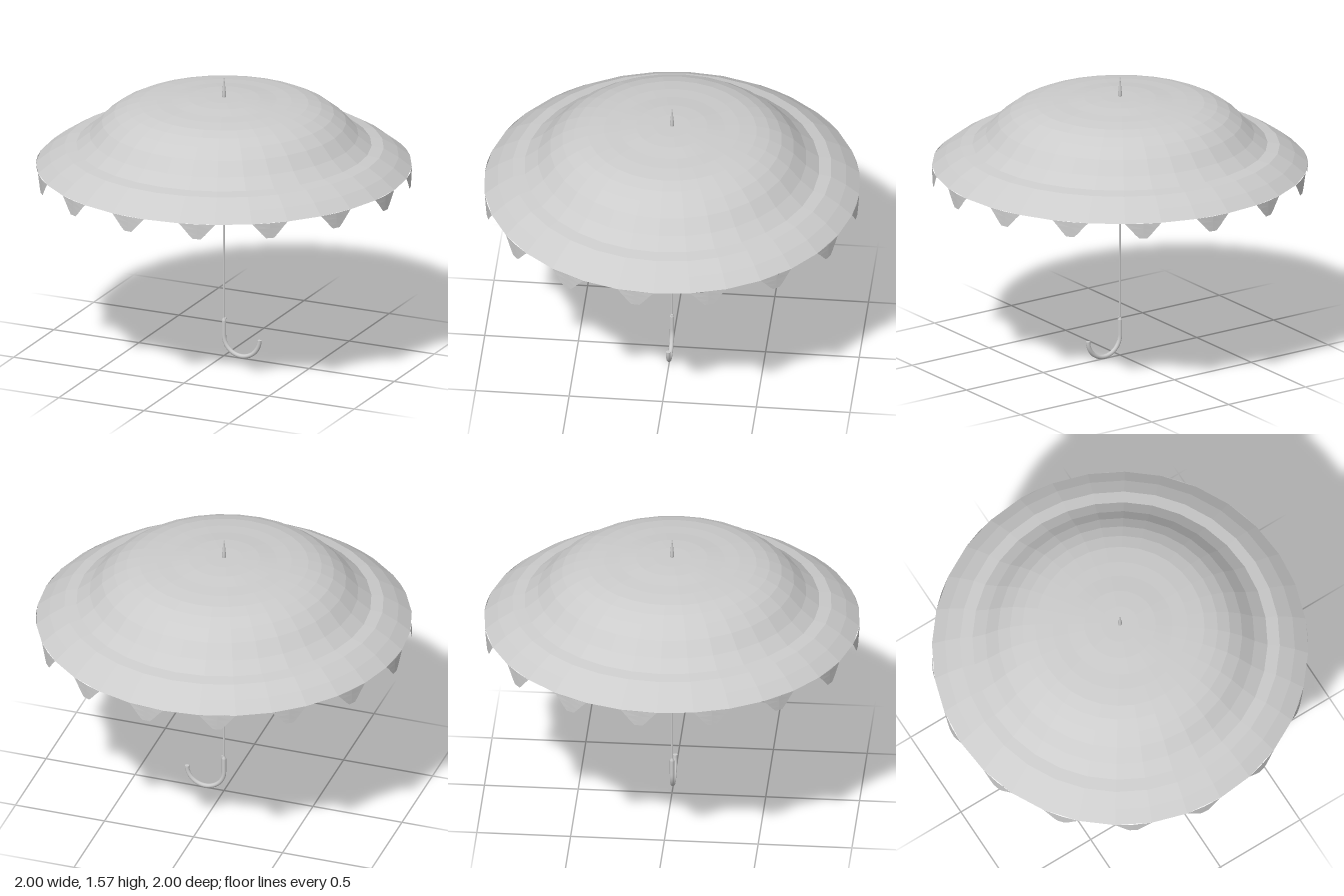
import * as THREE from 'three';

const SIDES = 32;
const RIM_Y = 1.075;
const flat = new THREE.MeshStandardMaterial({ color: 0xcccccc, flatShading: true, side: THREE.DoubleSide });
const smooth = new THREE.MeshStandardMaterial({ color: 0xcccccc });

function add(group, name, geometry, material) {
  const mesh = new THREE.Mesh(geometry, material);
  mesh.name = name;
  group.add(mesh);
  return mesh;
}

function lathe(points, sides) {
  return new THREE.LatheGeometry(points.map(([r, y]) => new THREE.Vector2(r, y)), sides);
}

// One scallop: a tapered flap hanging from one facet of the rim, bowed slightly outward
function flapGeometry(angle) {
  const half = Math.PI / SIDES;
  const rows = [[1, RIM_Y], [0.72, 1.046], [0.45, 1.015], [0.22, 0.992]];
  const positions = [], index = [];
  rows.forEach(([width, y], i) => {
    for (const s of [-1, 0, 1]) {
      const a = angle + s * width * half;
      positions.push(Math.sin(a), y, Math.cos(a));
    }
    if (i === 0) return;
    for (let j = 0; j < 2; j++) {
      const top = (i - 1) * 3 + j, low = i * 3 + j;
      index.push(top, low, low + 1, top, low + 1, top + 1);
    }
  });
  const g = new THREE.BufferGeometry();
  g.setAttribute('position', new THREE.Float32BufferAttribute(positions, 3));
  g.setIndex(index);
  g.computeVertexNormals();
  return g;
}

export function createModel() {
  const umbrella = new THREE.Group();
  umbrella.name = 'parasol';

  // Canopy: domed crown, concave shoulder and flared brim
  add(umbrella, 'canopy', lathe([
    [1, RIM_Y], [0.93, 1.13], [0.85, 1.178], [0.785, 1.19], [0.715, 1.245], [0.65, 1.315],
    [0.585, 1.365], [0.52, 1.397], [0.45, 1.418], [0.36, 1.431], [0.28, 1.437],
    [0.19, 1.448], [0.1, 1.452], [0, 1.453],
  ], SIDES), flat);

  // Scalloped edge on every other facet
  const edge = new THREE.Group();
  edge.name = 'scallopedEdge';
  umbrella.add(edge);
  for (let i = 0; i < SIDES / 2; i++) {
    add(edge, 'flap', flapGeometry((2 * i - 0.5) * 2 * Math.PI / SIDES), flat);
  }

  // Pole, hub and pointed tip
  const pole = add(umbrella, 'pole', new THREE.CylinderGeometry(0.005, 0.005, 1.27, 10), smooth);
  pole.position.y = 0.815;
  const hub = add(umbrella, 'hub', new THREE.CylinderGeometry(0.015, 0.011, 0.03, 10), smooth);
  hub.position.y = 1.43;
  add(umbrella, 'tip', lathe([
    [0.009, 1.445], [0.011, 1.47], [0.008, 1.5], [0.004, 1.54], [0, 1.568],
  ], 10), smooth);

  // Crook handle: straight grip running into a half circle
  const R = 0.104, r = 0.012, cy = R + r;
  const path = new THREE.CurvePath();
  path.add(new THREE.LineCurve3(new THREE.Vector3(0, 0.2, 0), new THREE.Vector3(0, cy, 0)));
  const arc = [];
  for (let i = 0; i <= 16; i++) {
    const a = Math.PI + i / 16 * Math.PI;
    arc.push(new THREE.Vector3(R + R * Math.cos(a), cy + R * Math.sin(a), 0));
  }
  path.add(new THREE.CatmullRomCurve3(arc));
  const handle = new THREE.Group();
  handle.name = 'handle';
  umbrella.add(handle);
  add(handle, 'crook', new THREE.TubeGeometry(path, 40, r, 10, false), smooth);
  const end = add(handle, 'crookEnd', new THREE.CircleGeometry(r, 10), smooth);
  end.rotation.x = -Math.PI / 2;
  end.position.set(2 * R, cy, 0);
  const collar = add(handle, 'collar', new THREE.CylinderGeometry(0.006, r, 0.015, 10), smooth);
  collar.position.y = 0.207;

  // Small catch above the grip
  const catchPin = add(handle, 'catch', new THREE.BoxGeometry(0.012, 0.01, 0.006), smooth);
  catchPin.position.set(0.008, 0.213, 0);

  return umbrella;
}
